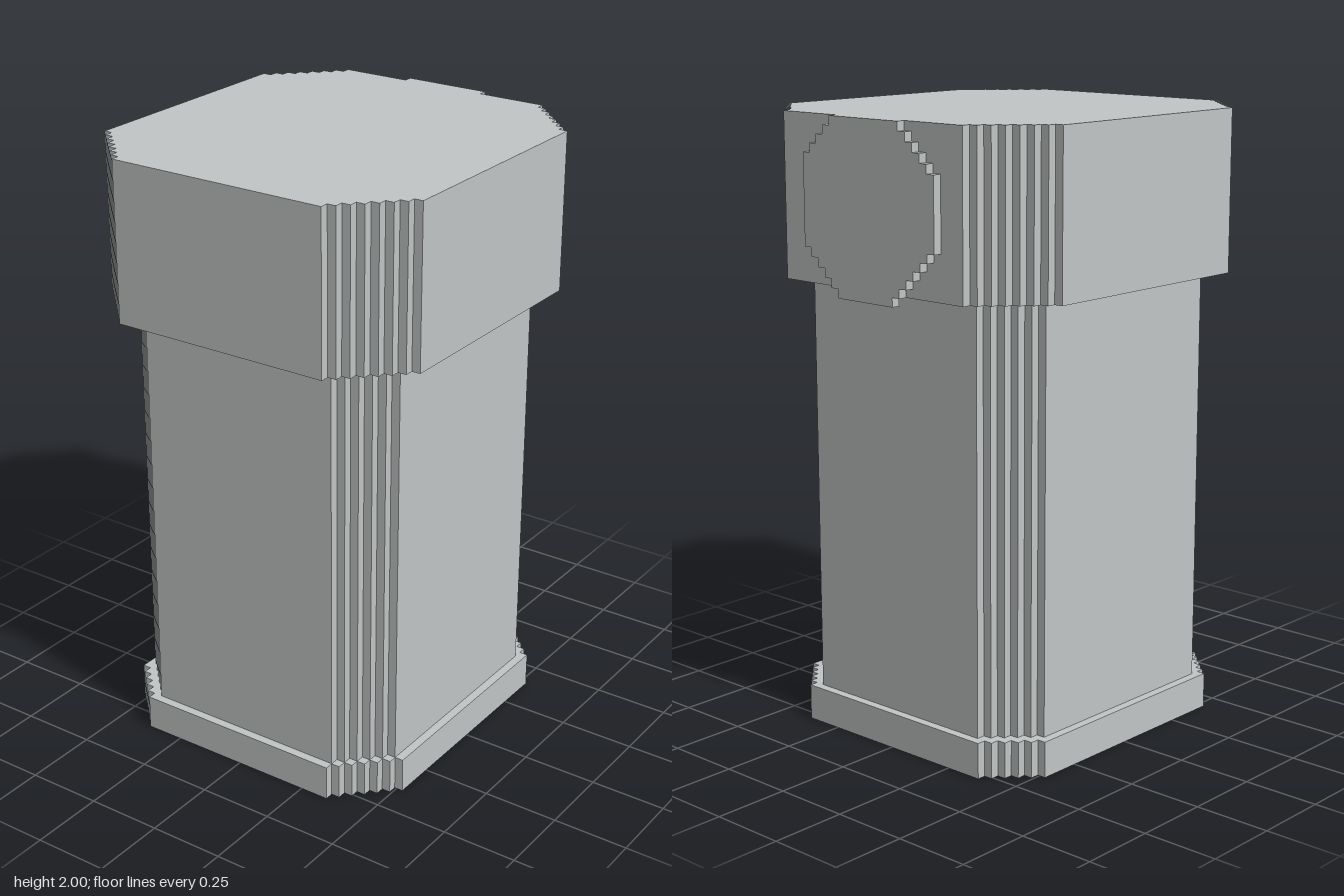
import * as THREE from 'three';

// Size of one block of the stepped grid (69 blocks high in total)
const U = 2 / 69;

// Rectangle whose corners are cut by staircases, counter-clockwise.
// steps: number of stairs at bottom right, top right, top left, bottom left
function steppedShape(x0, x1, y0, y1, steps) {
  const [br, tr, tl, bl] = steps;
  const pts = [];
  const stairs = (x, y, n, first, second) => {
    pts.push([x, y]);
    for (let i = 0; i < n; i++) {
      for (const [dx, dy] of [first, second]) {
        x += dx;
        y += dy;
        pts.push([x, y]);
      }
    }
  };
  stairs(x1 - br, y0, br, [0, 1], [1, 0]);
  stairs(x1, y1 - tr, tr, [-1, 0], [0, 1]);
  stairs(x0 + tl, y1, tl, [0, -1], [-1, 0]);
  stairs(x0, y0 + bl, bl, [1, 0], [0, -1]);
  return new THREE.Shape(pts.map(([x, y]) => new THREE.Vector2(x * U, y * U)));
}

function extrude(shape, blocks) {
  return new THREE.ExtrudeGeometry(shape, { depth: blocks * U, bevelEnabled: false });
}

export function createModel() {
  const group = new THREE.Group();
  const stone = new THREE.MeshStandardMaterial({ color: 0xc1c5c5 });
  stone.name = 'pale grey stone';

  // Upright sections: name, half width, back z, front z, bottom, top, corner stairs
  const sections = [
    ['base', 18, -18.5, 19.5, 0, 4, [6, 5, 5, 5]],
    ['shaft', 17, -17.5, 18.5, 4, 51, [5, 5, 5, 5]],
    ['cap', 20, -20.5, 21.5, 51, 69, [7, 7, 7, 7]],
  ];
  for (const [name, w, back, front, bottom, top, steps] of sections) {
    const geometry = extrude(steppedShape(-w, w, -front, -back, steps), top - bottom);
    geometry.rotateX(-Math.PI / 2);
    geometry.translate(0, bottom * U, 0);
    const mesh = new THREE.Mesh(geometry, stone);
    mesh.name = name;
    group.add(mesh);
  }

  // Round stepped disc on the back of the cap
  const disc = extrude(steppedShape(-10, 9, 50, 69, [5, 4, 5, 6]), 1);
  disc.translate(0, 0, -21.5 * U);
  const backDisc = new THREE.Mesh(disc, stone);
  backDisc.name = 'backDisc';
  group.add(backDisc);

  return group;
}
